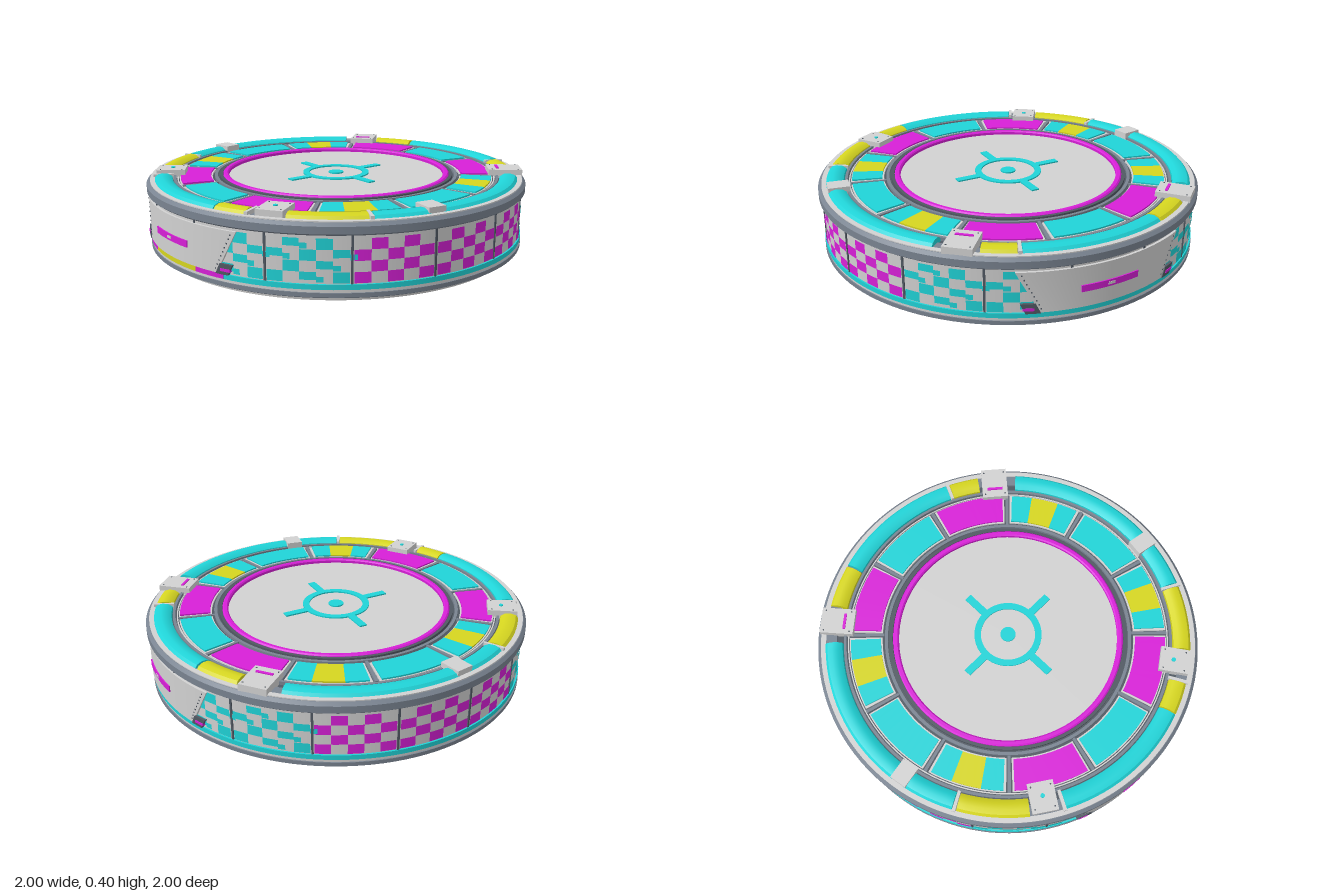
import * as THREE from 'three';
import { mergeGeometries, toCreasedNormals } from 'three/addons/utils/BufferGeometryUtils.js';

const paint = (name, color) => Object.assign(new THREE.MeshStandardMaterial({ color }), { name });
const M = {
  light: paint('lightGrey', 0xd2d2d2),
  slate: paint('slateBand', 0x7a8491),
  dark: paint('darkSlate', 0x515963),
  cyan: paint('cyan', 0x20d4d8),
  magenta: paint('magenta', 0xd820d8),
  yellow: paint('yellow', 0xd6d620),
};
const rad = THREE.MathUtils.degToRad;
const box = (r0, r1, y0, y1) => [[r0, y0], [r1, y0], [r1, y1], [r0, y1]];

// Solid ring segment: a closed [radius, y] profile swept from angle a to b
// (degrees, 0 = front, positive towards +x).
function sector(profile, a = 0, b = 360) {
  const pts = [...profile, profile[0]].map(p => new THREE.Vector2(...p));
  const steps = Math.max(2, Math.ceil((b - a) / 3));
  const parts = [new THREE.LatheGeometry(pts, steps, rad(a), rad(b - a)).toNonIndexed()];
  if (b - a < 360) {
    const shape = new THREE.Shape(pts.slice(0, -1));
    for (const [angle, flip] of [[a, false], [b, true]]) {
      const cap = new THREE.ShapeGeometry(shape);
      if (flip) cap.index.array.reverse();
      parts.push(cap.rotateY(rad(angle) - Math.PI / 2).toNonIndexed());
    }
  }
  return toCreasedNormals(mergeGeometries(parts), rad(28));
}

// Turn the angle of every vertex by a rule that depends on its height
function shear(geo, rule) {
  const p = geo.attributes.position;
  for (let i = 0; i < p.count; i++) {
    const x = p.getX(i), z = p.getZ(i), r = Math.hypot(x, z);
    const t = rule(Math.atan2(x, z), p.getY(i));
    p.setXYZ(i, r * Math.sin(t), p.getY(i), r * Math.cos(t));
  }
  return toCreasedNormals(geo, rad(28));
}

export function createModel() {
  const model = new THREE.Group();
  model.name = 'roundPlatform';
  const add = (name, geo, mat, parent = model) => {
    const mesh = new THREE.Mesh(geo, mat);
    mesh.name = name;
    parent.add(mesh);
    return mesh;
  };
  const group = (name, angle = 0) => {
    const g = new THREE.Group();
    g.name = name;
    g.rotation.y = rad(angle);
    model.add(g);
    return g;
  };

  // Base, wall and rims
  add('foot', new THREE.CylinderGeometry(0.95, 0.945, 0.03, 120).translate(0, 0.015, 0), M.light);
  add('lowerBand', sector([[0.9, 0.022], [0.975, 0.022], [0.99, 0.03], [0.99, 0.05], [0.9, 0.05]]), M.slate);
  add('lowerLip', sector(box(0.9, 0.984, 0.05, 0.064)), M.light);
  add('wall', sector(box(0.85, 0.98, 0.06, 0.315)), M.light);
  add('upperBand', sector([[0.9, 0.31], [0.99, 0.31], [1, 0.318], [1, 0.352], [0.985, 0.366], [0.9, 0.366]]), M.slate);
  add('upperLip', sector(box(0.955, 0.982, 0.36, 0.371)), M.light);
  add('deck', new THREE.CylinderGeometry(0.96, 0.96, 0.04, 120).translate(0, 0.335, 0), M.dark);

  // Coloured strip along the foot of the wall
  const strip = box(0.95, 0.988, 0.064, 0.088);
  add('footStrip', sector(strip, 21.5, 338.5), M.cyan);
  add('frontFootStrip', sector(strip, -11.3, 11.3), M.yellow);
  for (const s of [-16.4, 16.4]) add('frontFootStripEnd', sector(strip, s - 5, s + 5), M.magenta);

  // Sixteen wall panels: seams and checks
  const cells = { magenta: [], cyan: [] };
  const cell = (key, a, b, y0, y1) => cells[key].push(
    new THREE.CylinderGeometry(0.984, 0.984, y1 - y0, 3, 1, true, rad(a), rad(b - a)).translate(0, (y0 + y1) / 2, 0));
  const seams = group('wallSeams');
  for (let i = 0; i < 16; i++) {
    const mid = i * 22.5, start = mid - 10.7;
    add('seam', sector(box(0.97, 0.985, 0.088, 0.312), mid + 10.95, mid + 11.55), M.dark, seams);
    if (i % 8 === 0) continue;
    const key = Math.abs((i % 8) - 4) <= 1 ? 'magenta' : 'cyan';
    for (let row = 0; row < 4; row++) for (let col = 0; col < 5; col++) {
      if ((row + col) % 2) continue;
      const a = start + col * 4.28, y = 0.093 + row * 0.0505;
      const cut = key === 'cyan' && (row * 3 + col) % 4 === 2 ? 0.014 : 0;
      cell(key, a, a + 4.28, y + cut, y + 0.0505);
      if (cut) cell(key, a + 4.28, a + 6.2, y + 0.004, y + 0.03);
    }
  }
  for (const key in cells) add(key + 'WallChecks', mergeGeometries(cells[key]), M[key]);

  // Front and back access plates
  for (const turn of [0, 180]) {
    const g = group(turn ? 'backPlate' : 'frontPlate', turn);
    const taper = y => THREE.MathUtils.mapLinear(y, 0.09, 0.295, 0.75, 1);
    add('plate', shear(sector(box(0.96, 0.992, 0.09, 0.295), -26, 26), (t, y) => t * taper(y)), M.light, g);
    add('handle', sector(box(0.98, 0.998, 0.17, 0.203), -8.7, 8.7), M.magenta, g);
    add('handleCatch', sector(box(0.98, 1, 0.18, 0.193), -1, 1), M.light, g);
    for (const s of [-1, 1]) {
      const clip = sector(box(0.97, 0.996, 0.088, 0.138), 20, 24);
      add('cornerClip', shear(clip, (t, y) => s * t + (0.113 - y) * 0.5 * -s), M.dark, g).material = M.dark;
      if (s < 0) { // mirrored clip needs its corners turned round
        const p = clip.attributes.position, v = new THREE.Vector3(), w = new THREE.Vector3();
        const mirrored = g.children[g.children.length - 1].geometry.attributes.position;
        for (let i = 0; i < mirrored.count; i += 3) {
          v.fromBufferAttribute(mirrored, i);
          w.fromBufferAttribute(mirrored, i + 2);
          mirrored.setXYZ(i, w.x, w.y, w.z);
          mirrored.setXYZ(i + 2, v.x, v.y, v.z);
        }
        g.children[g.children.length - 1].geometry.computeVertexNormals();
      }
      add('clipBar', sector(box(0.98, 0.999, 0.104, 0.117), s * 22.5 - 1.5, s * 22.5 + 1.5), M.magenta, g);
      for (let k = 0; k < 9; k++) {
        const y = 0.11 + k * 0.021, t = s * 24.8 * taper(y);
        add('rivet', sector(box(0.985, 0.9935, y - 0.003, y + 0.003), t - 0.18, t + 0.18), M.dark, g);
      }
    }
  }

  // Padded outer ring on top: [from, to, colour]
  const pad = [[0.865, 0.35], [0.962, 0.35], [0.96, 0.368], [0.945, 0.384], [0.92, 0.391], [0.89, 0.388], [0.868, 0.374]];
  const pads = group('outerPads');
  const segments = [
    [-28, 17, 'cyan'], [17.4, 27.5, 'yellow'], [39, 60.8, 'yellow'], [-60.8, -39, 'yellow'],
    [62.2, 78, 'cyan'], [-78, -62.2, 'cyan'], [82, 132, 'cyan'], [-132, -82, 'cyan'],
    [145, 154.8, 'yellow'], [-159.3, -145, 'yellow'], [156.2, 200, 'cyan'],
  ];
  for (const [a, b, key] of segments) add(key + 'Pad', sector(pad, a, b), M[key], pads);
  for (const a of [61.5, -61.5, 155.5, -28.6, 28.1]) {
    add('padDivider', sector(box(0.86, 0.965, 0.35, 0.386), a - 0.5, a + 0.5), M.light, pads);
  }
  add('padInnerRim', sector(box(0.848, 0.862, 0.35, 0.372)), M.slate);
  add('panelOuterRim', sector(box(0.836, 0.842, 0.35, 0.364)), M.light);

  // Clamp plates across the outer ring: [angle, radius from, radius to, width]
  const clamps = [[34.3, 0.8, 0.95, 0.13], [80, 0.845, 0.955, 0.09], [139.4, 0.81, 0.985, 0.14]];
  for (const [angle, r0, r1, w] of clamps) for (const s of [-1, 1]) {
    const g = group('clamp', s * angle);
    add('clampPlate', new THREE.BoxGeometry(w, 0.048, r1 - r0).translate(0, 0.375, (r0 + r1) / 2), M.light, g);
    if (angle > 100) add('clampHandle', new THREE.BoxGeometry(0.085, 0.006, 0.014).translate(0, 0.401, 0.86), M.magenta, g);
    if (angle < 40) add('clampStud', new THREE.CylinderGeometry(0.011, 0.011, 0.006, 16).translate(0, 0.401, 0.87), M.cyan, g);
    if (w > 0.1) for (const x of [-1, 1]) for (const z of [r0 + 0.02, r1 - 0.02]) {
      add('clampBolt', new THREE.CylinderGeometry(0.004, 0.004, 0.002, 8).translate(x * (w / 2 - 0.015), 0.4, z), M.dark, g);
    }
  }

  // Twelve inner panels with light trim; every third pair is striped
  const panels = group('innerPanels');
  const panel = (a, b, key) => add(key + 'Panel', sector(box(0.668, 0.825, 0.35, 0.372), a, b), M[key], panels);
  for (let i = 0; i < 12; i++) {
    const c = i * 30;
    add('panelTrim', sector(box(0.66, 0.831, 0.35, 0.364), c - 13.9, c + 13.9), M.light, panels);
    add('panelDivider', sector(box(0.65, 0.835, 0.35, 0.368), c + 14.4, c + 15.6), M.slate, panels);
    if (i % 6 === 1 || i % 6 === 5) panel(c - 13.2, c + 13.2, 'magenta');
    else if (i % 3 === 0) panel(c - 13.2, c + 13.2, 'cyan');
    else {
      panel(c - 13, c - 5.2, 'cyan');
      panel(c - 5.2, c + 5.2, 'yellow');
      panel(c + 5.2, c + 13, 'cyan');
    }
  }

  // Central floor with its rims
  add('panelInnerRim', sector(box(0.632, 0.648, 0.35, 0.37)), M.slate);
  add('floorRim', sector(box(0.606, 0.622, 0.35, 0.374)), M.dark);
  add('floorRing', sector([[0.574, 0.35], [0.604, 0.35], [0.604, 0.374], [0.597, 0.38], [0.581, 0.38], [0.574, 0.374]]), M.magenta);
  add('floor', new THREE.CylinderGeometry(0.576, 0.576, 0.02, 96).translate(0, 0.35, 0), M.light);

  // Cross mark on the floor
  const mark = group('crossMark');
  add('markRing', sector(box(0.143, 0.177, 0.358, 0.367)), M.cyan, mark);
  add('markDot', new THREE.CylinderGeometry(0.04, 0.04, 0.009, 32).translate(0, 0.3625, 0), M.cyan, mark);
  for (let i = 0; i < 4; i++) {
    add('markArm', new THREE.BoxGeometry(0.04, 0.009, 0.13).translate(0, 0.3625, 0.235).rotateY(i * Math.PI / 2), M.cyan, mark);
  }
  return model;
}
